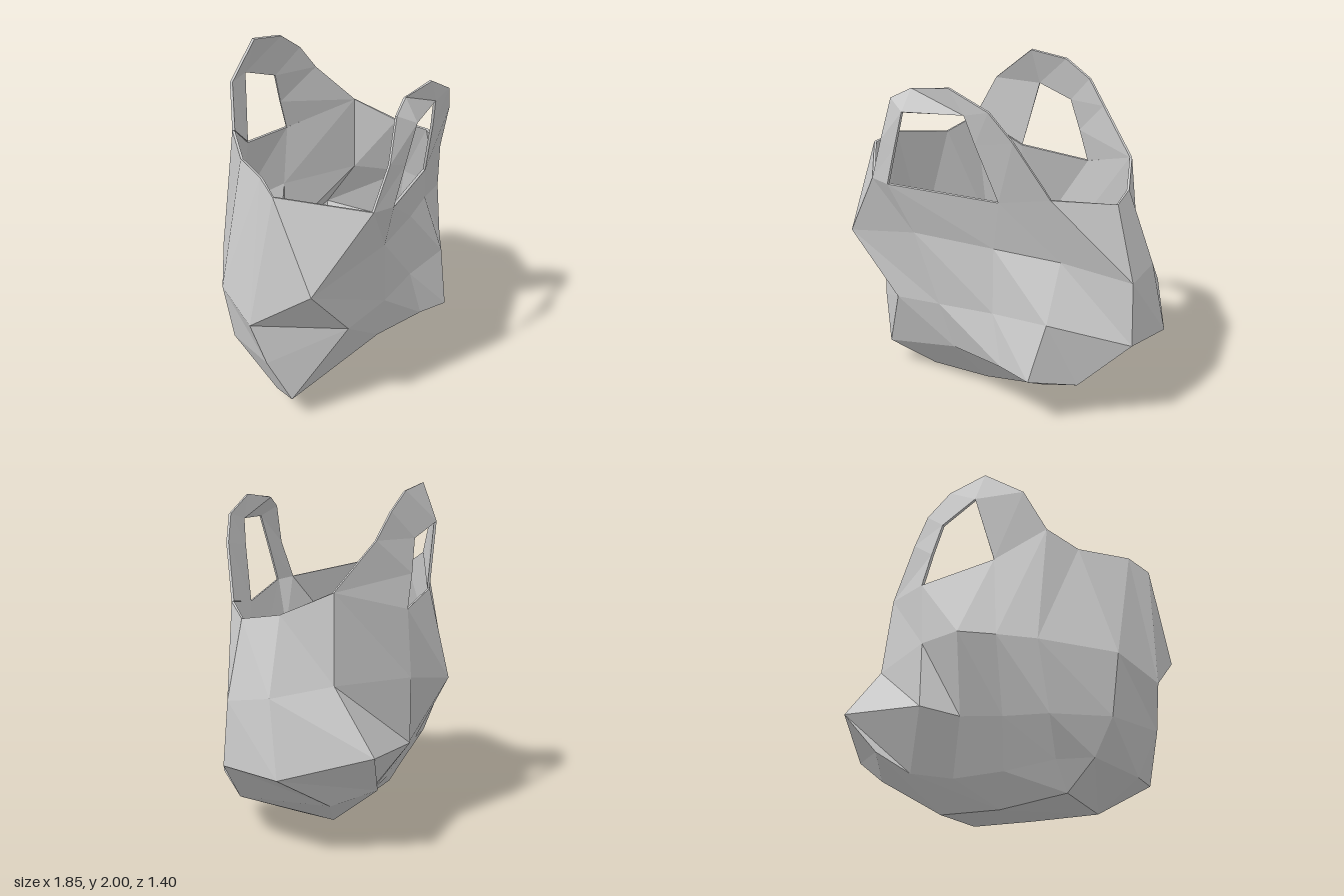
import * as THREE from 'three';

const WALL = 0.015;
const material = new THREE.MeshStandardMaterial({ color: 0xcccccc, flatShading: true });

// Thick sheet from quads of [x, y, z] points: outer skin, inner skin, and walls along open edges
function shell(name, quads) {
  const ids = new Map(), points = [], tris = [];
  const id = (p) => {
    const key = p.join();
    if (!ids.has(key)) { ids.set(key, points.length); points.push(p); }
    return ids.get(key);
  };
  const addTri = (a, b, c) => { if (a !== b && b !== c && a !== c) tris.push([a, b, c]); };
  for (const quad of quads) {
    const [a, b, c, d] = quad.map(id);
    addTri(a, b, c);
    addTri(a, c, d);
  }

  const skin = new THREE.BufferGeometry();
  skin.setAttribute('position', new THREE.Float32BufferAttribute(points.flat(), 3));
  skin.setIndex(tris.flat());
  skin.computeVertexNormals();
  const n = skin.attributes.normal;
  const inner = points.map((p, i) => [
    p[0] - WALL * n.getX(i), p[1] - WALL * n.getY(i), p[2] - WALL * n.getZ(i)]);

  const count = points.length, index = [], edges = new Set();
  for (const [a, b, c] of tris) {
    index.push(a, b, c, a + count, c + count, b + count);
    for (const [u, v] of [[a, b], [b, c], [c, a]]) edges.add(u + '_' + v);
  }
  for (const edge of edges) {
    const [u, v] = edge.split('_').map(Number);
    if (!edges.has(v + '_' + u)) index.push(u, u + count, v + count, u, v + count, v);
  }

  const geometry = new THREE.BufferGeometry();
  geometry.setAttribute('position', new THREE.Float32BufferAttribute([...points, ...inner].flat(), 3));
  geometry.setIndex(index);
  geometry.computeVertexNormals();
  const mesh = new THREE.Mesh(geometry, material);
  mesh.name = name;
  return mesh;
}

// Quads joining two rows of points, the first row being the upper or outer one
function strip(upper, lower, closed = false) {
  const quads = [], n = upper.length;
  for (let i = 0; i < (closed ? n : n - 1); i++) {
    const j = (i + 1) % n;
    quads.push([upper[i], lower[i], lower[j], upper[j]]);
  }
  return quads;
}

export function createModel() {
  const group = new THREE.Group();
  group.name = 'bag';

  // Rings run from the front left corner across the front, right, back and left
  const rim = [
    [-0.49, 1.36, 0.66], [-0.35, 1.35, 0.68], [0.25, 1.29, 0.43], [0.53, 1.33, 0.33],
    [0.78, 1.29, 0.05], [0.72, 1.32, -0.16], [0.58, 1.44, -0.41], [0.15, 1.32, -0.61],
    [-0.3, 1.38, -0.5], [-0.55, 1.57, -0.33], [-0.65, 1.48, -0.16], [-0.8, 1.51, 0.15],
    [-0.85, 1.46, 0.29]];
  const chest = [
    [-0.83, 0.95, 0.53], [-0.27, 1.05, 0.56], [0.18, 1.0, 0.39], [0.53, 0.95, 0.23],
    [0.9, 0.86, 0.06], [0.87, 0.9, -0.2], [0.62, 0.95, -0.44], [0.12, 0.93, -0.62],
    [-0.2, 0.88, -0.69], [-0.38, 0.85, -0.58], [-0.56, 0.82, -0.45], [-0.86, 0.77, -0.13],
    [-0.93, 0.67, 0.16]];
  const belly = [
    [-0.49, 0.58, 0.49], [-0.16, 0.61, 0.48], [0.18, 0.61, 0.4], [0.54, 0.62, 0.37],
    [0.92, 0.5, 0.08], [0.92, 0.48, -0.28], [0.63, 0.6, -0.7], [0.12, 0.55, -0.62],
    [-0.07, 0.48, -0.5], [-0.3, 0.45, -0.42], [-0.55, 0.43, -0.34], [-0.8, 0.42, -0.12],
    [-0.87, 0.42, 0.22]];
  const base = [
    [-0.76, 0.15, 0.3], [-0.12, 0.32, 0.4], [0.26, 0.31, 0.43], [0.48, 0.29, 0.46],
    [0.64, 0.22, 0.2], [0.6, 0.27, -0.4], [0.45, 0.36, -0.61], [0.33, 0.25, -0.45],
    [0.1, 0.2, -0.35], [-0.2, 0.2, -0.28], [-0.5, 0.22, -0.22], [-0.68, 0.22, -0.12],
    [-0.76, 0.17, 0.18]];

  // Small floor, shared by several columns of the base ring
  const A = [-0.52, 0, 0.14], B = [-0.07, 0.04, 0.15], C = [0.26, 0.04, 0.03];
  const D = [0.3, 0.06, -0.22], E = [-0.07, 0.04, -0.15], F = [-0.5, 0.06, -0.12];
  const floor = [A, B, C, C, C, D, D, D, E, E, F, F, A];

  const rings = [rim, chest, belly, base, floor];
  const bodyQuads = [[A, F, E, B], [B, E, D, C]];
  for (let i = 0; i < rings.length - 1; i++) bodyQuads.push(...strip(rings[i], rings[i + 1], true));
  group.add(shell('bagBody', bodyQuads));

  // Front handle: outer edge and edge of the opening, both rising from the rim
  const frontLeft = [-0.2, 1.78, 0.7], frontRight = [0.13, 1.78, 0.57];
  group.add(shell('frontHandle', strip(
    [rim[0], [-0.39, 1.6, 0.68], [-0.32, 1.84, 0.66], [-0.2, 1.9, 0.62],
      [0.05, 1.92, 0.6], [0.28, 1.81, 0.55], [0.39, 1.65, 0.48], rim[3]],
    [rim[1], [-0.275, 1.57, 0.69], frontLeft, frontLeft,
      frontRight, frontRight, [0.17, 1.62, 0.53], rim[2]])));

  // Back handle
  const backRight = [0.03, 1.7, -0.58], backLeft = [-0.22, 1.78, -0.58];
  group.add(shell('backHandle', strip(
    [rim[6], [0.32, 1.7, -0.51], [0.2, 1.85, -0.53], [0.03, 1.96, -0.52],
      [-0.22, 2, -0.49], [-0.46, 1.81, -0.43], rim[9]],
    [rim[7], [0.09, 1.51, -0.6], backRight, backRight,
      backLeft, backLeft, rim[8]])));

  return group;
}
